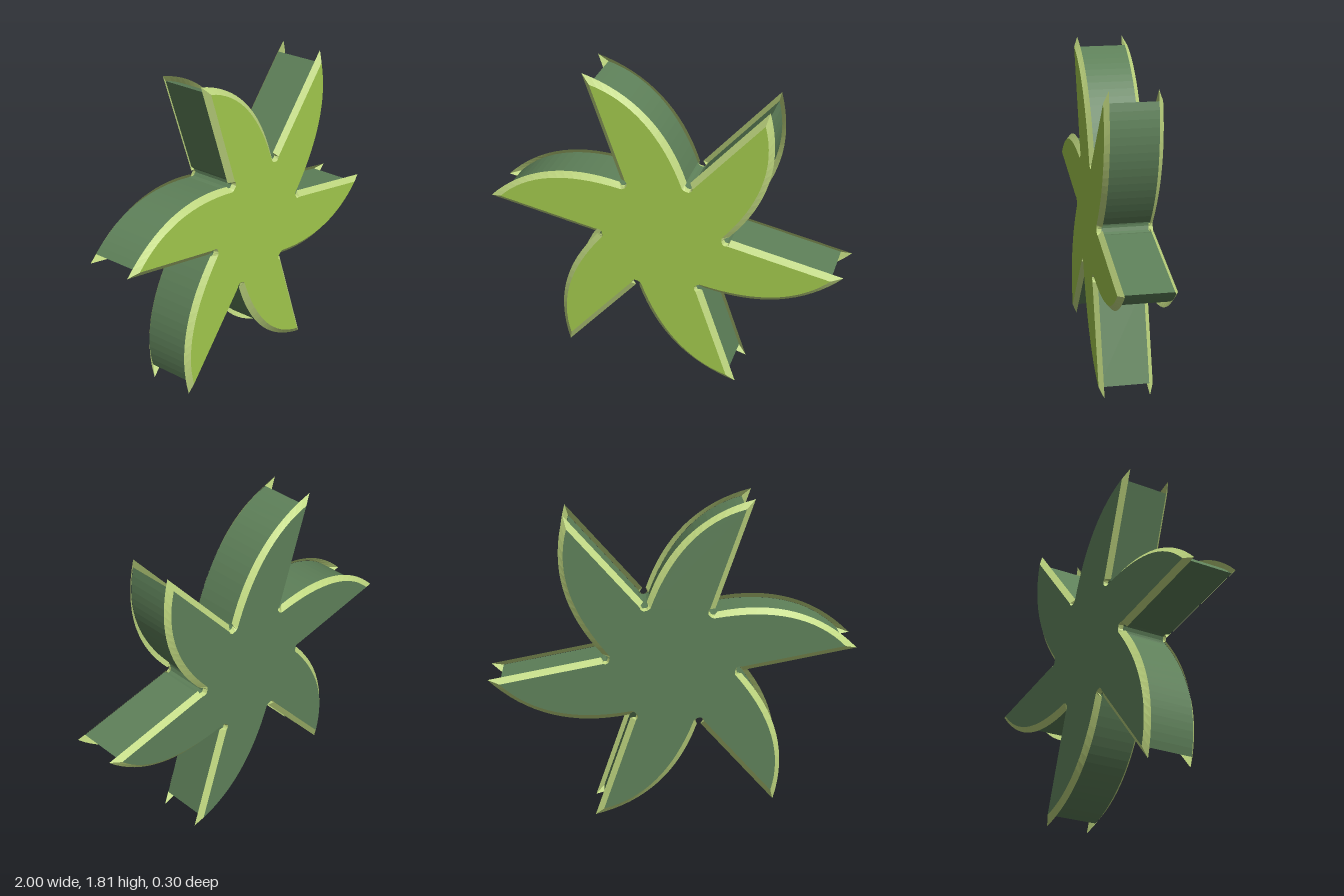
import * as THREE from 'three';

const HALF = 0.15;      // half thickness of the body
const RIM_Z = 0.125;    // depth of the flared rim's outer edge
const CENTRE_Y = 0.912;
const BLADES = 6;

// One blade, counter-clockwise: curved edge to the tip, straight edge back, notch.
function outline(root, control, tip, notch) {
  const v = ([x, y]) => new THREE.Vector2(x, y);
  const blade = new THREE.QuadraticBezierCurve(v(root), v(control), v(tip)).getPoints(16);
  blade.push(...notch.map(v));
  const points = [];
  for (let k = 0; k < BLADES; k++) {
    for (const p of blade) {
      points.push(p.clone().rotateAround(new THREE.Vector2(), (k * Math.PI * 2) / BLADES));
    }
  }
  return points;
}

// Sloping open rim between the face outline and the wider outer outline
function rimGeometry(inner, outer, side) {
  const pos = [];
  const n = inner.length;
  for (let i = 0; i < n; i++) {
    const j = (i + 1) % n;
    const i0 = [inner[i].x, inner[i].y, side * HALF];
    const i1 = [inner[j].x, inner[j].y, side * HALF];
    const o0 = [outer[i].x, outer[i].y, side * RIM_Z];
    const o1 = [outer[j].x, outer[j].y, side * RIM_Z];
    if (side > 0) pos.push(...i0, ...o0, ...o1, ...i0, ...o1, ...i1);
    else pos.push(...i0, ...o1, ...o0, ...i0, ...i1, ...o1);
  }
  const geo = new THREE.BufferGeometry();
  geo.setAttribute('position', new THREE.Float32BufferAttribute(pos, 3));
  geo.computeVertexNormals();
  return geo;
}

export function createModel() {
  const lime = new THREE.MeshStandardMaterial({ color: 0xa4cb4d });
  lime.name = 'lime face';
  const green = new THREE.MeshStandardMaterial({ color: 0x5e8059 });
  green.name = 'dark green body';
  const pale = new THREE.MeshStandardMaterial({ color: 0xc0d880, side: THREE.DoubleSide });
  pale.name = 'pale green rim';

  const outer = outline([0.24, -0.295], [0.70, -0.385], [1.0, -0.078],
    [[0.385, 0.043], [0.372, 0.02], [0.355, 0.022], [0.347, 0.04], [0.353, 0.058]]);
  const inner = outline([0.222, -0.264], [0.69, -0.345], [0.935, -0.096],
    [[0.375, 0.014], [0.36, 0.012], [0.345, 0.02], [0.338, 0.04], [0.338, 0.052]]);

  const star = new THREE.Group();
  star.name = 'bladedStar';
  star.position.y = CENTRE_Y;
  const add = (name, geo, material) => {
    const mesh = new THREE.Mesh(geo, material);
    mesh.name = name;
    star.add(mesh);
    return mesh;
  };

  // Body walls and back
  const shape = new THREE.Shape(inner);
  const body = new THREE.ExtrudeGeometry(shape, { depth: HALF * 2 - 0.002, bevelEnabled: false });
  add('body', body, green).position.z = -HALF;

  // Front face
  add('frontFace', new THREE.ShapeGeometry(shape), lime).position.z = HALF;

  // Flared rims
  add('frontRim', rimGeometry(inner, outer, 1), pale);
  add('backRim', rimGeometry(inner, outer, -1), pale);

  const model = new THREE.Group();
  model.name = 'pinwheelStar';
  model.add(star);
  return model;
}
